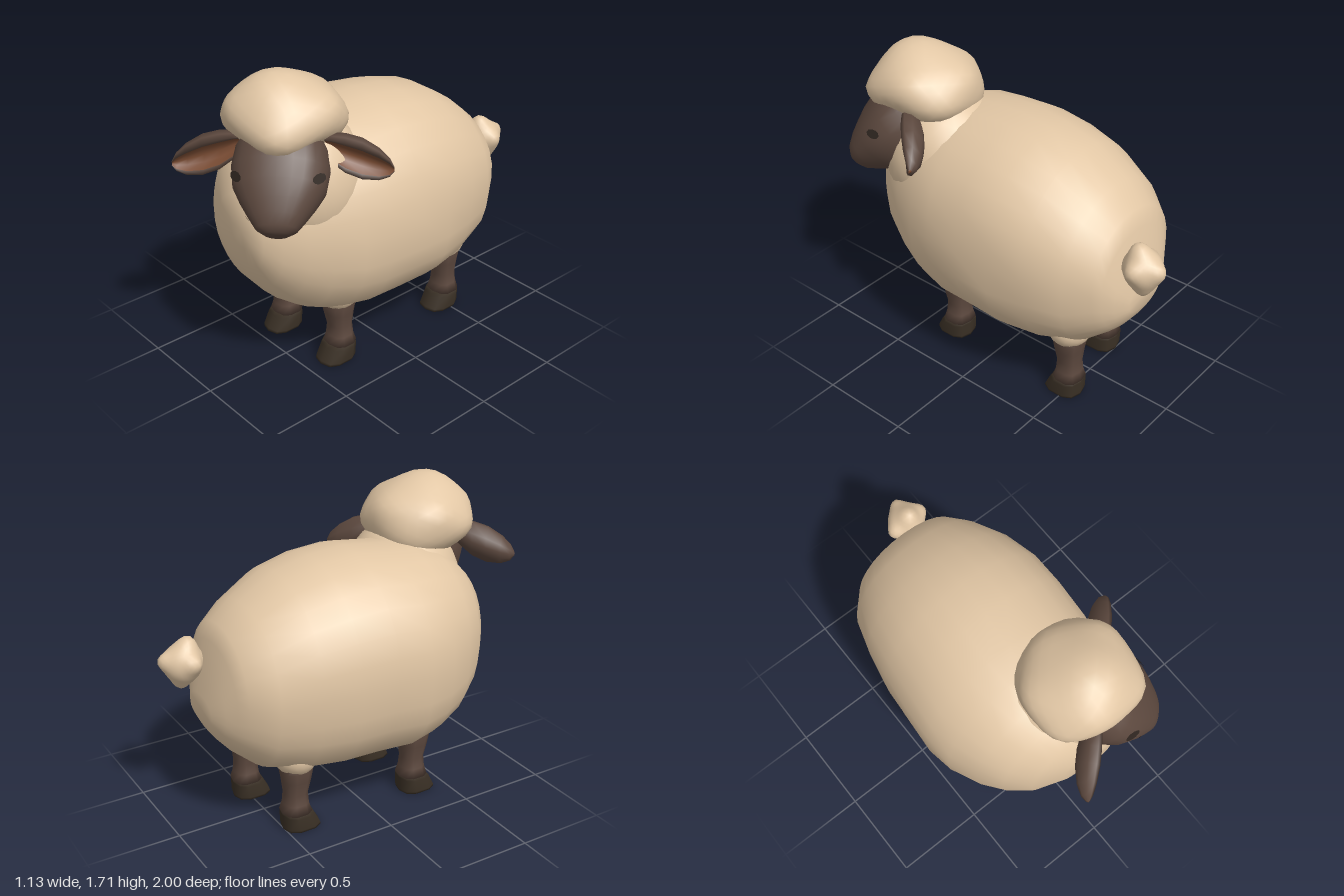
import * as THREE from 'three';
import { mergeVertices } from 'three/addons/utils/BufferGeometryUtils.js';

const material = (name, color, side = THREE.FrontSide) => {
  const m = new THREE.MeshStandardMaterial({ color, side });
  m.name = name;
  return m;
};

// Skin a list of rings (arrays of [x, y, z]); closed rings get end caps.
function loft(rings, closed = true) {
  const n = rings[0].length, pos = rings.flat(2), idx = [];
  const cols = closed ? n : n - 1;
  for (let i = 0; i < rings.length - 1; i++) {
    for (let j = 0; j < cols; j++) {
      const k = (j + 1) % n;
      const a = i * n + j, b = i * n + k, c = b + n, d = a + n;
      idx.push(a, b, c, a, c, d);
    }
  }
  if (closed) {
    for (const i of [0, rings.length - 1]) {
      const centre = pos.length / 3;
      pos.push(...[0, 1, 2].map(q => rings[i].reduce((s, p) => s + p[q], 0) / n));
      for (let j = 0; j < n; j++) {
        const a = i * n + j, b = i * n + (j + 1) % n;
        idx.push(centre, ...(i ? [a, b] : [b, a]));
      }
    }
  }
  const g = new THREE.BufferGeometry();
  g.setAttribute('position', new THREE.Float32BufferAttribute(pos, 3));
  g.setIndex(idx);
  g.computeVertexNormals();
  return g;
}

const ring = (n, point) => Array.from({ length: n }, (_, j) => {
  const a = j / n * Math.PI * 2;
  return point(Math.cos(a), Math.sin(a));
});
const power = (v, k) => Math.sign(v) * Math.abs(v) ** k;

// Ellipsoid with soft swellings; each bump is [x, y, z, height, sharpness].
function lump(radii, bumps = [], detail = 5) {
  let g = new THREE.IcosahedronGeometry(1, detail);
  g.deleteAttribute('uv');
  g.deleteAttribute('normal');
  g = mergeVertices(g);
  const p = g.attributes.position, v = new THREE.Vector3(), r = new THREE.Vector3(...radii);
  const dirs = bumps.map(b => new THREE.Vector3(b[0], b[1], b[2]).normalize());
  for (let i = 0; i < p.count; i++) {
    v.fromBufferAttribute(p, i).normalize();
    const swell = bumps.reduce((s, b, k) => s + b[3] * Math.exp(-b[4] * (1 - v.dot(dirs[k]))), 1);
    v.multiplyScalar(swell).multiply(r);
    p.setXYZ(i, v.x, v.y, v.z);
  }
  g.computeVertexNormals();
  return g;
}

export function createModel() {
  const model = new THREE.Group();
  model.name = 'sheep';
  const wool = material('wool', 0xe2c7a5);
  const skin = material('dark skin', 0x5c483e, THREE.DoubleSide);
  const hoof = material('hoof', 0x3a3025);
  const innerEar = material('inner ear', 0x7a4c33, THREE.DoubleSide);
  const eye = material('eye', 0x2e251f, THREE.DoubleSide);

  const add = (parent, name, geometry, mat, position = [0, 0, 0]) => {
    const m = new THREE.Mesh(geometry, mat);
    m.name = name;
    m.position.set(...position);
    parent.add(m);
    return m;
  };

  // Fleece: [z, centre x, bottom, top, half width], back to front
  const bodySections = [
    [-0.825, 0.03, 0.62, 0.77, 0.13], [-0.79, 0.02, 0.55, 0.91, 0.22], [-0.755, 0.02, 0.5, 1.05, 0.28],
    [-0.72, 0.01, 0.46, 1.14, 0.33], [-0.6, 0, 0.36, 1.24, 0.425], [-0.4, 0, 0.30, 1.36, 0.495], [-0.2, 0, 0.28, 1.41, 0.535],
    [0, -0.01, 0.28, 1.43, 0.545], [0.2, -0.025, 0.28, 1.41, 0.545], [0.35, -0.025, 0.30, 1.4, 0.515],
    [0.5, -0.02, 0.36, 1.36, 0.455], [0.62, -0.01, 0.45, 1.29, 0.385], [0.72, 0.01, 0.57, 1.20, 0.29],
    [0.785, 0.05, 0.71, 1.09, 0.18], [0.81, 0.08, 0.83, 1.01, 0.08],
  ];
  add(model, 'bodyFleece', loft(bodySections.map(([z, cx, lo, hi, w]) => ring(28, (c, s) => {
    const wave = 1 + 0.018 * Math.sin(9 * z + 5 * s) * Math.sin(11 * z + 4 * c) * (1 - Math.max(s, 0));
    const k = s < 0 ? 0.86 : 0.96; // squarer belly than back
    const mid = (lo + hi) / 2;
    return [cx + w * power(c, k) * wave, mid + (hi - mid) * power(s, k), z];
  }))), wool);
  add(model, 'neckFleece', lump([0.32, 0.37, 0.32], [
    [-1, 0.1, -0.3, 0.14, 3], [0, -0.1, 1, 0.04, 6],
  ]), wool, [0.105, 1.1, 0.44]);

  // Tail puff with tufts
  add(model, 'tail', lump([0.1, 0.105, 0.1], [
    [0, 1, 0.35, 0.4, 9], [0.1, 0.25, -1, 0.32, 13], [0.1, -1, -0.1, 0.36, 11],
    [-1, 0.2, 0.25, 0.36, 12], [1, 0.25, 0.1, 0.28, 12], [0, 0, 1, 0.25, 10],
  ]), wool, [0.12, 0.92, -0.87]);

  // Legs: [y, z shift, half width, half depth]
  const legSections = [[0.1, 0, 0.085, 0.08], [0.15, 0, 0.07, 0.066], [0.21, 0, 0.062, 0.062],
    [0.29, 0.005, 0.075, 0.075], [0.35, 0.005, 0.085, 0.085], [0.45, 0, 0.08, 0.08]];
  const hoofSections = [[0, 0.03, 0.085, 0.105], [0.015, 0.027, 0.09, 0.104], [0.085, 0.008, 0.09, 0.085],
    [0.105, 0, 0.082, 0.077]];
  const limb = sections => loft(sections.map(([y, z, w, d]) =>
    ring(10, (c, s) => [w * power(s, 0.75), y, z + d * power(c, 0.75)])));
  for (const [name, x, z] of [['frontLeftLeg', 0.2, 0.285], ['frontRightLeg', -0.23, 0.31],
    ['backLeftLeg', 0.2, -0.505], ['backRightLeg', -0.23, -0.43]]) {
    const leg = new THREE.Group();
    leg.name = name;
    leg.position.set(x, 0, z);
    add(leg, 'shin', limb(legSections), skin);
    add(leg, 'hoof', limb(hoofSections), hoof);
    add(leg, 'woolCuff', lump([0.13, 0.12, 0.12], [], 3), wool, [-x * 0.05, 0.435, 0.01]);
    model.add(leg);
  }

  // Head, turned to the model's left
  const head = new THREE.Group();
  head.name = 'head';
  model.add(head);

  // Face: [distance along the snout, half width, height above, depth below]
  const faceSections = [[-0.14, 0.1, 0.12, 0.12], [-0.08, 0.18, 0.185, 0.2], [0, 0.22, 0.2, 0.26], [0.1, 0.235, 0.182, 0.28],
    [0.19, 0.222, 0.16, 0.255], [0.27, 0.18, 0.13, 0.2], [0.34, 0.135, 0.1, 0.145], [0.39, 0.1, 0.07, 0.1],
    [0.415, 0.06, 0.04, 0.06]];
  const face = add(head, 'face', loft(faceSections.map(([t, w, up, down]) => ring(24, (c, s) => {
    const k = s > 0 ? 0.85 : 1;
    const h = (s > 0 ? up : down) * power(s, k);
    return [w * power(c, k), 1.32 - 0.66 * t + 0.75 * h, 0.75 * t + 0.66 * h];
  }))), skin);

  // Wool cap: peak, forehead tuft, cut back above the eyes
  add(head, 'woolCap', lump([0.285, 0.205, 0.285], [
    [-0.15, 1, 0.2, 0.22, 8], [0, -0.1, 1, 0.12, 14], [0.75, -0.6, 0.65, -0.16, 10], [-0.75, -0.6, 0.65, -0.16, 10],
    [0.8, 0.5, 0.3, 0.1, 16], [-0.8, 0.5, 0.3, 0.08, 16], [-0.95, -0.1, -0.2, 0.1, 12], [0.95, -0.1, -0.2, 0.1, 12],
    [0.5, 0.5, -0.7, 0.08, 16], [-0.5, 0.4, -0.8, 0.08, 16], [0, -0.6, -1, 0.14, 6],
  ]), wool, [0, 1.465, -0.09]);

  // Eyes and nostril laid on the face surface
  const ray = new THREE.Raycaster();
  const spot = (name, at, normal, w, h) => {
    const n = new THREE.Vector3(...normal).normalize();
    ray.set(new THREE.Vector3(...at).addScaledVector(n, 0.4), n.clone().negate());
    const hit = ray.intersectObject(face)[0];
    const m = add(head, name, new THREE.CircleGeometry(1, 10), eye);
    m.scale.set(w, h, 1);
    m.position.copy(hit.point).addScaledVector(n, 0.007);
    m.lookAt(m.position.clone().add(hit.face.normal));
  };
  spot('rightNostril', [-0.14, 1.09, 0.24], [-0.8, 0.2, 0.55], 0.018, 0.014);

  // Ear cross-sections as [depth, height] fractions
  const shell = [[-0.05, 0.42], [0.45, 0.72], [0.2, 0.95], [-0.4, 1], [-1, 0.5], [-1.1, 0], [-1, -0.5], [-0.3, -1],
    [0.25, -0.95], [0.1, -0.75]];
  const hollow = [[-0.05, 0.42], [-0.4, 0.15], [-0.5, -0.15], [-0.4, -0.5], [0.1, -0.75]];
  // [sideways, y, half height, depth]
  const earSections = [[0.17, 1.375, 0.04, 0.04], [0.23, 1.355, 0.07, 0.062], [0.3, 1.325, 0.095, 0.074],
    [0.38, 1.298, 0.1, 0.074], [0.46, 1.272, 0.078, 0.058], [0.51, 1.257, 0.045, 0.035], [0.532, 1.25, 0.01, 0.01]];
  for (const [side, label] of [[1, 'left'], [-1, 'right']]) {
    spot(label + 'Eye', [side * 0.195, 1.285, 0.2], [side * 0.75, 0.3, 0.5], 0.042, 0.024);
    const strip = profile => loft(earSections.map(([x, y, h, d]) =>
      profile.map(([a, b]) => [side * x, y + b * h, 0.015 + a * d])), false);
    add(head, label + 'Ear', strip(shell), skin);
    add(head, label + 'EarInside', strip(hollow), innerEar);
  }
  head.position.set(0.18, 0, 0.615);
  head.rotation.y = Math.PI / 4;
  return model;
}
